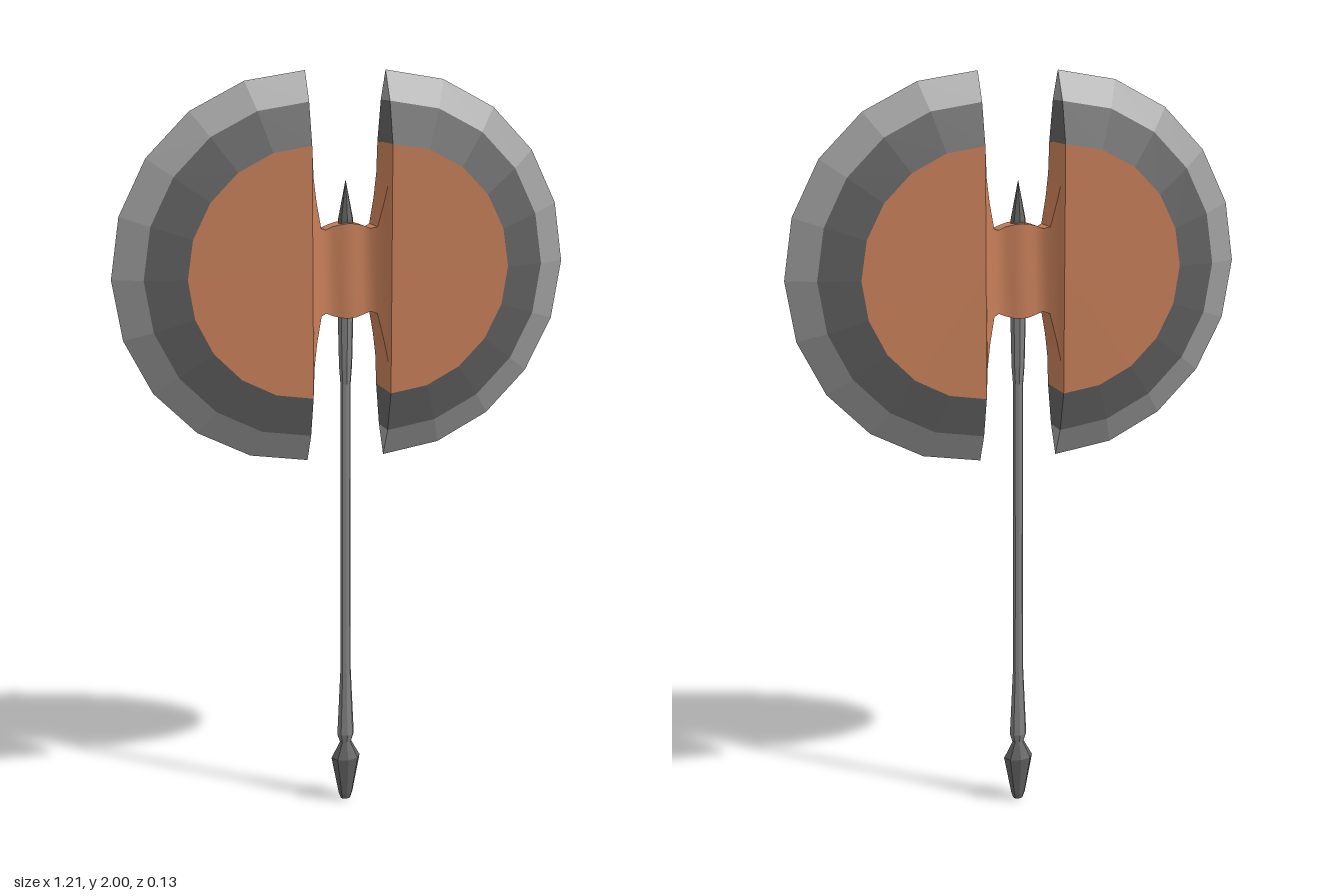
import * as THREE from 'three';
import { toCreasedNormals } from 'three/addons/utils/BufferGeometryUtils.js';

const paint = (color) => new THREE.MeshStandardMaterial({ color, flatShading: true });

// Skin a row of closed cross-sections (arrays of Vector3) and cap both ends
function loft(sections) {
  const pos = [];
  const tri = (...pts) => pts.forEach((p) => pos.push(p.x, p.y, p.z));
  const n = sections[0].length;
  for (let s = 0; s < sections.length - 1; s++) {
    const a = sections[s], b = sections[s + 1];
    for (let i = 0; i < n; i++) {
      const j = (i + 1) % n;
      tri(a[i], a[j], b[j]);
      tri(a[i], b[j], b[i]);
    }
  }
  const first = sections[0], last = sections[sections.length - 1];
  for (let i = 1; i < n - 1; i++) {
    tri(first[0], first[i + 1], first[i]);
    tri(last[0], last[i], last[i + 1]);
  }
  const geo = new THREE.BufferGeometry();
  geo.setAttribute('position', new THREE.Float32BufferAttribute(pos, 3));
  geo.computeVertexNormals();
  return geo;
}

const SEGMENTS = 10, BLADE_X = 0.105, BLADE_Y = 1.5, HALF_THICK = 0.063;

// Half ring swept from the top of the blade to its bottom; profile is [radius, z]
function halfRing(profile) {
  const sections = [];
  for (let i = 0; i <= SEGMENTS; i++) {
    const t = (i / SEGMENTS) * Math.PI;
    sections.push(profile.map(([r, z]) =>
      new THREE.Vector3(BLADE_X + r * Math.sin(t), BLADE_Y + r * Math.cos(t), z)));
  }
  return loft(sections);
}

export function createModel() {
  const axe = new THREE.Group();
  axe.name = 'doubleAxe';
  const copper = paint(0xc87f59), darkSteel = paint(0x626262);
  const edgeSteel = paint(0xa0a0a0), shaftSteel = paint(0x858585);

  const add = (parent, name, geo, mat) => {
    const mesh = new THREE.Mesh(geo, mat);
    mesh.name = name;
    parent.add(mesh);
    return mesh;
  };

  // Blades: copper core, dark bevel and bright cutting edge
  const R = [0.32, 0.425, 0.5], Z = [HALF_THICK, 0.037];
  const coreGeo = new THREE.CylinderGeometry(R[0], R[0], 2 * HALF_THICK, SEGMENTS, 1, false, 0, Math.PI)
    .rotateX(Math.PI / 2).translate(BLADE_X, BLADE_Y, 0);
  const bevelGeo = halfRing([[R[0], -Z[0]], [R[1], -Z[1]], [R[1], Z[1]], [R[0], Z[0]]]);
  const edgeGeo = halfRing([[R[1], -Z[1]], [R[2], 0], [R[1], Z[1]]]);
  ['leftBlade', 'rightBlade'].forEach((name, i) => {
    const blade = new THREE.Group();
    blade.name = name;
    blade.rotation.y = i * Math.PI;
    add(blade, 'bladeCore', coreGeo, copper);
    add(blade, 'bladeBevel', bevelGeo, darkSteel);
    add(blade, 'cuttingEdge', edgeGeo, edgeSteel);
    axe.add(blade);
  });

  // Hub: flares from a narrow socket out to the back of each blade
  // rows are [x, half height, half depth]
  const half = [[0.02, 0.12, 0.03], [0.04, 0.115, 0.024], [0.06, 0.107, 0.026],
    [0.075, 0.112, 0.036], [0.09, 0.18, 0.046], [0.1, 0.24, 0.056], [BLADE_X, 0.32, HALF_THICK]];
  const rows = [...half.map(([x, h, d]) => [-x, h, d]).reverse(), [0, 0.122, 0.032], ...half];
  const hubGeo = loft(rows.map(([x, h, d]) => [
    [-h, -d], [h, -d], [h, d], [-h, d],
  ].map(([y, z]) => new THREE.Vector3(x, BLADE_Y + y, z))));
  const hubMat = copper.clone();
  hubMat.flatShading = false;
  add(axe, 'hub', toCreasedNormals(hubGeo, 0.7), hubMat);

  // Turned parts, slightly flattened front to back
  const turned = (name, points, mat, flat) => {
    const geo = new THREE.LatheGeometry(points.map(([r, y]) => new THREE.Vector2(r, y)), 8);
    add(axe, name, geo.scale(1, 1, flat), mat);
  };
  turned('pommel', [[0, 0], [0.014, 0.003], [0.02, 0.02], [0.041, 0.13], [0.013, 0.182], [0, 0.182]], darkSteel, 0.7);
  turned('grip', [[0, 0.175], [0.017, 0.178], [0.024, 0.2], [0.022, 0.24], [0.015, 0.39]], shaftSteel, 0.75);
  turned('shaft', [[0.015, 0.385], [0.014, 0.6], [0.014, 1.22]], shaftSteel, 0.6);
  turned('socketCollar', [[0.014, 1.2], [0.018, 1.25], [0.021, 1.38], [0, 1.4]], shaftSteel, 0.8);
  turned('topSpike', [[0.022, 1.6], [0.02, 1.63], [0.0, 1.73]], darkSteel, 0.85);

  return axe;
}
